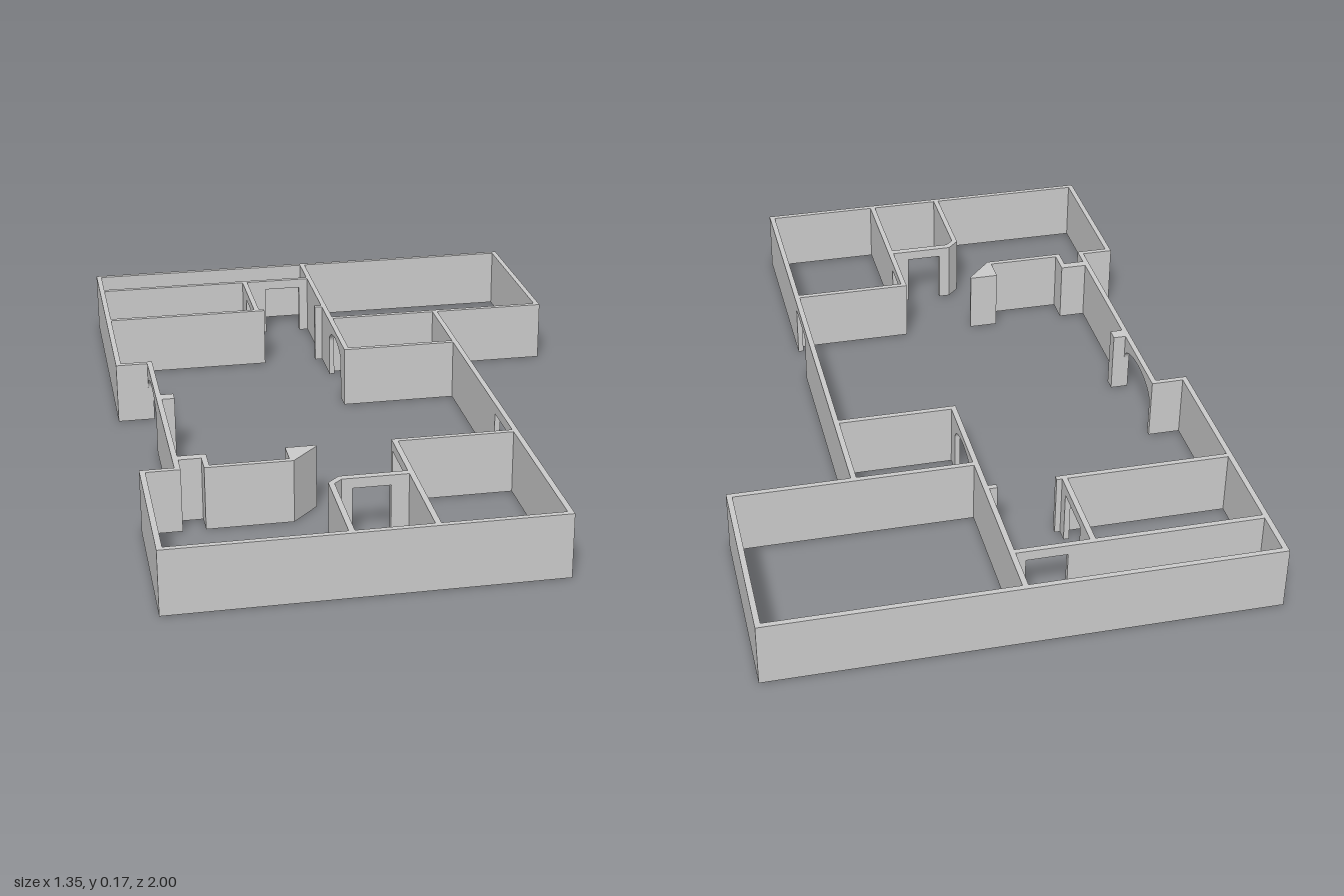
import * as THREE from 'three';

const H = 0.175, DOOR = 0.147, T = 0.015;

export function createModel() {
  const group = new THREE.Group();
  const material = new THREE.MeshStandardMaterial({ color: 0xcccccc, flatShading: true });

  const add = (name, geometry) => {
    const mesh = new THREE.Mesh(geometry, material);
    mesh.name = name;
    group.add(mesh);
  };

  // Wall elevation from a to b, with an optional doorway or arch cut up from the floor
  const elevation = (a, b, opening) => {
    const s = new THREE.Shape();
    s.moveTo(a, 0);
    if (opening) {
      const { from, to, spring } = opening;
      s.lineTo(from, 0);
      if (spring !== undefined) {
        s.lineTo(from, spring);
        s.absellipse((from + to) / 2, spring, (to - from) / 2, DOOR + 0.006 - spring, Math.PI, 0, true);
      } else {
        s.lineTo(from, DOOR);
        s.lineTo(to, DOOR);
      }
      s.lineTo(to, 0);
    }
    s.lineTo(b, 0);
    s.lineTo(b, H);
    s.lineTo(a, H);
    s.closePath();
    return s;
  };
  const extrude = (shape, depth) =>
    new THREE.ExtrudeGeometry(shape, { depth, bevelEnabled: false, curveSegments: 16 });

  // Wall running along x, starting at depth z
  const wallX = (name, z, a, b, opening, t = T) =>
    add(name, extrude(elevation(a, b, opening), t).translate(0, 0, z));
  // Wall running along z, starting at x
  const wallZ = (name, x, a, b, opening, t = T) =>
    add(name, extrude(elevation(a, b, opening), t).rotateY(-Math.PI / 2).translate(x + t, 0, 0));
  // Full-height block from a floor-plan outline of [x, z] points
  const block = (name, plan) => {
    const s = new THREE.Shape(plan.map(([x, z]) => new THREE.Vector2(x, -z)));
    add(name, extrude(s, H).rotateX(-Math.PI / 2));
  };

  // Outer walls
  wallX('backWall', -1, -0.675, 0.672);
  wallZ('backRoomSideWall', 0.657, -1, -0.46);
  wallX('backRoomFrontWall', -0.475, -0.003, 0.672);
  wallZ('entranceSideWall', 0.327, -0.47, 1, { from: 0.3, to: 0.45 });
  wallX('frontWall', 0.985, -0.675, 0.342);
  wallZ('frontRoomSideWall', -0.675, 0.547, 1);
  wallX('frontRoomReturn', 0.547, -0.675, -0.57);
  wallZ('livingSideWall', -0.585, -0.205, 0.562, { from: -0.19, to: 0.052, spring: 0.1 });
  wallX('livingReturn', -0.205, -0.675, -0.57);
  wallZ('rearSideWall', -0.675, -1, -0.19);

  // Rear rooms
  wallZ('rearSpineWall', -0.003, -1, -0.19, { from: -0.44, to: -0.25, spring: 0.11 });
  wallX('rearCorridorWall', -0.86, -0.675, 0, { from: -0.14, to: -0.03 });
  wallZ('bedroomDoorWall', -0.215, -0.86, -0.57, { from: -0.76, to: -0.62 });
  wallX('bedroomWall', -0.585, -0.675, -0.185);
  wallX('hallStub', -0.585, -0.025, 0);
  wallX('sideRoomWall', -0.205, 0, 0.342);

  // Front rooms
  wallX('frontSideRoomWall', 0.476, -0.003, 0.342);
  wallZ('frontSpineWall', -0.003, 0.476, 1, { from: 0.491, to: 0.62 });
  wallX('closetWall', 0.677, -0.18, 0.005, { from: -0.15, to: -0.05 }, 0.02);
  wallZ('closetSideWall', -0.215, 0.71, 1);
  block('closetChamfer', [[-0.215, 0.71], [-0.2, 0.718], [-0.178, 0.697], [-0.178, 0.677], [-0.182, 0.677]]);

  // Pilaster, niche and angled pier beside the living space
  wallX('pilaster', 0.052, -0.585, -0.535, null, 0.035);
  wallX('nicheBack', 0.476, -0.575, -0.495, null, 0.025);
  wallZ('nicheSide', -0.51, 0.476, 0.562);
  wallX('livingFrontWall', 0.547, -0.51, -0.28);
  block('angledPier', [[-0.287, 0.476], [-0.287, 0.562], [-0.278, 0.562], [-0.205, 0.483], [-0.205, 0.476]]);

  return group;
}
